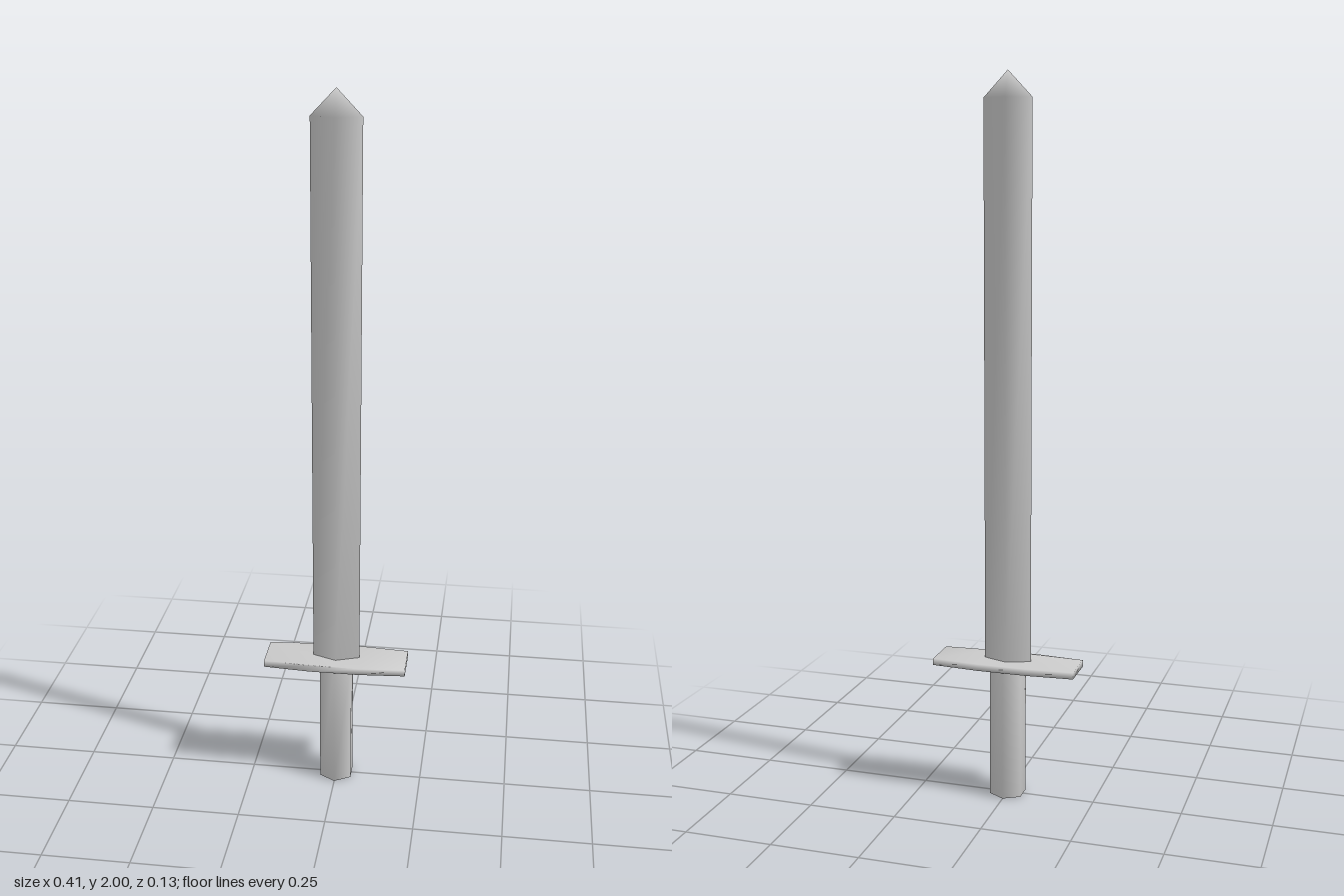
import * as THREE from 'three';

const material = new THREE.MeshStandardMaterial({ color: 0xcccccc });

// Extrude an [x, z] outline (counter-clockwise from above) between two heights,
// closed at the bottom, and at the top by a flat cap or a point at tipY.
// Corners are shared so the shading runs smoothly over the edges.
function prism(name, outline, y0, y1, tipY) {
  const n = outline.length;
  const positions = [];
  for (const y of [y0, y1]) for (const [x, z] of outline) positions.push(x, y, z);
  const index = [];
  for (let i = 0; i < n; i++) {
    const j = (i + 1) % n;
    index.push(i, j, n + j, i, n + j, n + i);
    if (tipY !== undefined) index.push(n + i, n + j, 2 * n);
  }
  for (let i = 1; i < n - 1; i++) {
    index.push(0, i + 1, i);
    if (tipY === undefined) index.push(n, n + i, n + i + 1);
  }
  if (tipY !== undefined) positions.push(0, tipY, 0);

  const geometry = new THREE.BufferGeometry();
  geometry.setAttribute('position', new THREE.Float32BufferAttribute(positions, 3));
  geometry.setIndex(index);
  geometry.computeVertexNormals();
  const mesh = new THREE.Mesh(geometry, material);
  mesh.name = name;
  return mesh;
}

export function createModel() {
  const group = new THREE.Group();
  group.name = 'sword';

  // Six-sided grip
  const hexagon = [];
  for (let i = 0; i < 6; i++) {
    const a = (i * Math.PI) / 3;
    hexagon.push([0.052 * Math.sin(a), 0.052 * Math.cos(a)]);
  }
  group.add(prism('grip', hexagon, 0, 0.38));

  // Thin crossguard, tapering towards its ends
  const guard = [
    [0.07, 0.065], [0.203, 0.055], [0.203, -0.055], [0.07, -0.065],
    [-0.07, -0.065], [-0.203, -0.055], [-0.203, 0.055], [-0.07, 0.065],
  ];
  group.add(prism('crossguard', guard, 0.376, 0.395));

  // Diamond-section blade with a short point
  const diamond = [[0, 0.025], [0.067, 0], [0, -0.025], [-0.067, 0]];
  group.add(prism('blade', diamond, 0.385, 1.93, 2));

  return group;
}
